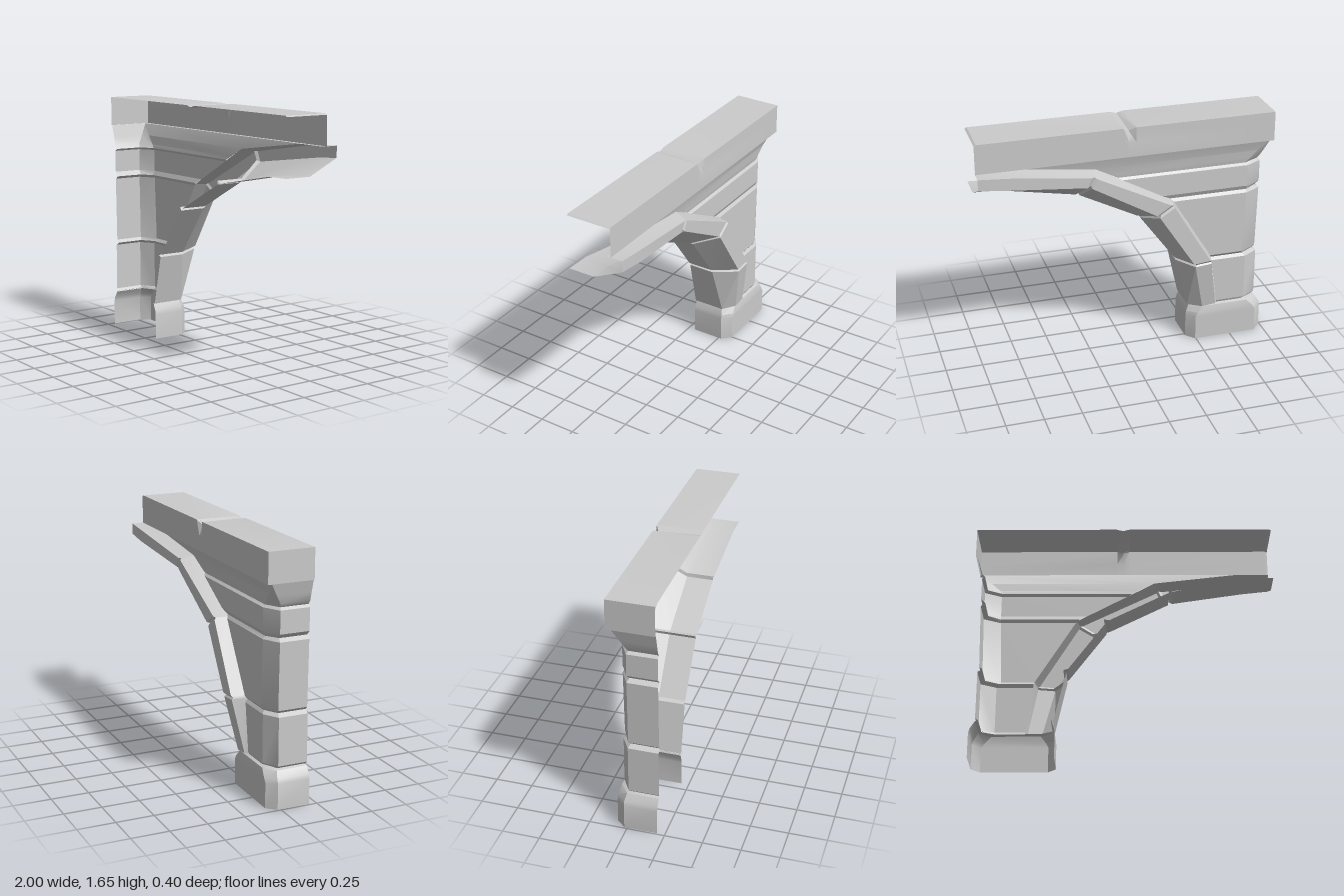
import * as THREE from 'three';
import { toCreasedNormals } from 'three/addons/utils/BufferGeometryUtils.js';

const material = new THREE.MeshStandardMaterial({ color: 0xcccccc, side: THREE.DoubleSide });
const lerp = THREE.MathUtils.lerp;
const mix = (p, q, t) => p.map((v, i) => lerp(v, q[i], t));

// Skins a list of cross-sections (rows of [x, y, z]) with quads.
function loft(name, rows) {
  const n = rows[0].length;
  const index = [];
  for (let r = 0; r < rows.length - 1; r++) {
    for (let i = 0; i < n - 1; i++) {
      const a = r * n + i, b = a + n;
      index.push(a, b, a + 1, b, b + 1, a + 1);
    }
  }
  const geometry = new THREE.BufferGeometry();
  geometry.setAttribute('position', new THREE.Float32BufferAttribute(rows.flat(2), 3));
  geometry.setIndex(index);
  const mesh = new THREE.Mesh(toCreasedNormals(geometry, 0.45), material);
  mesh.name = name;
  return mesh;
}

const FRONT = 0.2; // open mating plane

// Rib stations: soffit edge, chamfer edge, outer edge, root on the wall
const ribStations = [
  [[-0.45, 0.25, -0.02], [-0.54, 0.25, -0.08], [-0.635, 0.26, -0.08], [-0.65, 0.26, -0.06]],
  [[-0.37, 0.60, 0.02], [-0.46, 0.61, -0.145], [-0.575, 0.62, -0.145], [-0.60, 0.62, -0.05]],
  [[-0.11, 0.955, 0.02], [-0.20, 1.01, -0.14], [-0.30, 1.075, -0.14], [-0.32, 1.08, -0.055]],
  [[0.31, 1.17, 0.02], [0.27, 1.285, -0.15], [0.24, 1.35, -0.15], [0.21, 1.37, -0.055]],
  [[0.83, 1.27, 0.02], [0.82, 1.36, -0.2], [0.8, 1.44, -0.2], [0.78, 1.45, -0.08]],
  [[1, 1.275, 0.02], [1, 1.375, -0.19], [1, 1.45, -0.19], [1, 1.45, -0.08]],
];

// Right-hand limit of the wall, following the rib root
function wallEnd(y) {
  const roots = ribStations.slice(0, 5).map((s) => s[3]);
  for (let i = 0; i < 4; i++) {
    const [x0, y0] = roots[i], [x1, y1] = roots[i + 1];
    if (y <= y1) return lerp(x0, x1, Math.max(0, (y - y0) / (y1 - y0)));
  }
  return roots[4][0];
}

function makeRib() {
  const mixStation = (s, q, t) => s.map((p, i) => mix(p, q[i], t));
  const stations = [];
  ribStations.forEach((s, k) => {
    if (k === 0 || k > 3) return stations.push(s);
    // A shallow groove at each stone joint
    const groove = s.map((p, i) => (i === 3 ? p : mix(p, s[3], i === 0 ? 0.1 : 0.12)));
    stations.push(mixStation(s, ribStations[k - 1], 0.03), groove, mixStation(s, ribStations[k + 1], 0.03));
  });
  return loft('archRib', stations.map(([a, b, c, d]) => [d, c, b, a, [a[0], a[1], FRONT]]));
}

function makeWall() {
  // y, side x, chamfer end x, chamfer start z, wall z
  const levels = [
    [0.25, -0.93, -0.83, 0.0, -0.05],
    [0.27, -0.95, -0.85, 0.0, -0.06],
    [0.59, -0.95, -0.85, 0.0, -0.06],
    [0.61, -0.92, -0.83, 0.01, -0.045],
    [0.63, -0.94, -0.82, 0.0, -0.06],
    [1.07, -0.95, -0.84, 0.0, -0.06],
    [1.09, -0.92, -0.84, 0.01, -0.045],
    [1.12, -0.95, -0.84, 0.0, -0.06],
    [1.27, -0.95, -0.84, 0.0, -0.06],
    [1.285, -0.93, -0.83, 0.01, -0.045],
    [1.31, -0.95, -0.85, 0.0, -0.05],
    [1.37, -0.967, -0.91, -0.035, -0.057],
    [1.45, -0.99, -0.99, -0.08, -0.08],
  ];
  return loft('pillarAndSpandrel', levels.map(([y, xs, xc, zc, zw]) => [
    [xs, y, FRONT], [xs, y, zc], [xc, y, zw], [wallEnd(y), y, zw],
  ]));
}

function makePlinth() {
  // y, left, right, chamfer width, chamfer start z, back z
  const levels = [
    [0, -0.99, -0.44, 0.055, -0.02, -0.08],
    [0.17, -0.99, -0.44, 0.055, -0.02, -0.08],
    [0.2, -0.98, -0.445, 0.065, -0.02, -0.08],
    [0.245, -0.95, -0.465, 0.08, -0.01, -0.07],
    [0.255, -0.93, -0.46, 0.09, 0, -0.05],
  ];
  return loft('plinth', levels.map(([y, l, r, c, zc, zb]) => [
    [l, y, FRONT], [l, y, zc], [l + c, y, zb], [r - c, y, zb], [r, y, zc], [r, y, FRONT],
  ]));
}

function makeBeam() {
  const section = (x, top = 1.65) => [
    [x, top, FRONT], [x, top, -0.085], [x, top, -0.11],
    [x, 1.55, -0.11], [x, 1.45, -0.11], [x, 1.45, -0.08],
  ];
  // Chipped joint in the middle of the top edge
  const chip = section(-0.005);
  chip[0][1] = 1.638;
  chip[1][1] = 1.625;
  chip[2] = [-0.005, 1.62, -0.087];
  const group = new THREE.Group();
  group.name = 'beam';
  group.add(
    loft('beamShell', [section(-1), section(-0.048), chip, section(0.038), section(0.985), section(1, 1.642)]),
    loft('beamEnd', [1.45, 1.65].map((y) => [[-1, y, FRONT], [-1, y, -0.11]])),
  );
  return group;
}

export function createModel() {
  const model = new THREE.Group();
  model.name = 'halfArch';
  model.add(makePlinth(), makeWall(), makeRib(), makeBeam());
  return model;
}
